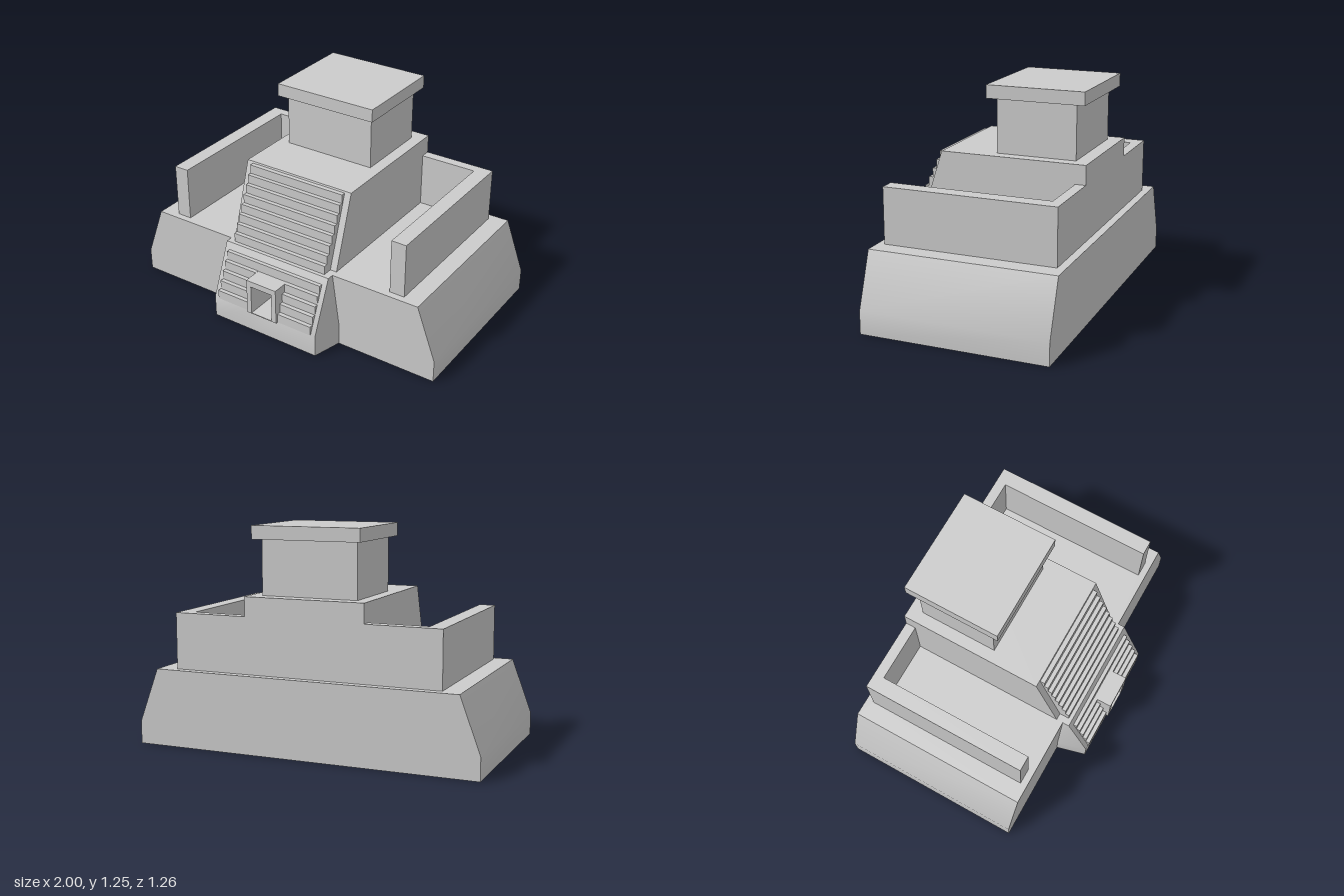
import * as THREE from 'three';
import { mergeGeometries, toCreasedNormals } from 'three/addons/utils/BufferGeometryUtils.js';

const material = new THREE.MeshStandardMaterial({ color: 0xcccccc, side: THREE.DoubleSide });

// One four-cornered face, corners counter-clockwise from outside
function quad(a, b, c, d) {
  const g = new THREE.BufferGeometry();
  g.setAttribute('position', new THREE.Float32BufferAttribute([a, b, c, a, c, d].flat(), 3));
  g.computeVertexNormals();
  return g;
}

// The same face on both sides of x = 0
function pair(...corners) {
  const mirrored = corners.map(([x, y, z]) => [-x, y, z]).reverse();
  return [quad(...corners), quad(...mirrored)];
}

function flat(points, hole) {
  const toVectors = (list) => list.map(([x, y]) => new THREE.Vector2(x, y));
  const shape = new THREE.Shape(toVectors(points));
  if (hole) shape.holes.push(new THREE.Path(toVectors(hole)));
  const g = new THREE.ShapeGeometry(shape).toNonIndexed();
  g.deleteAttribute('uv');
  return g;
}

// Horizontal face at height y, outline given as [x, z]
function deck(points, y, hole) {
  const flip = (list) => list && list.map(([x, z]) => [x, -z]);
  return flat(flip(points), flip(hole)).rotateX(-Math.PI / 2).translate(0, y, 0);
}

function createModel() {
  const group = new THREE.Group();
  const add = (name, geometry) => {
    const mesh = new THREE.Mesh(geometry, material);
    mesh.name = name;
    group.add(mesh);
  };
  const shell = (name, faces) => add(name, toCreasedNormals(mergeGeometries(faces), 0.6));
  const box = (name, x0, x1, y0, y1, z0, z1) =>
    add(name, new THREE.BoxGeometry(x1 - x0, y1 - y0, z1 - z0)
      .translate((x0 + x1) / 2, (y0 + y1) / 2, (z0 + z1) / 2));

  const back = -0.63, front = 0.44, top = 0.44, knee = 0.13;
  const lowerSlope = (y) => 0.61 - (y - knee) * 0.13 / 0.31;
  const upperSlope = (y) => 0.4 - (y - top) * 0.14 / 0.43;

  // Base: hollow, open below, sides leaning in above the knee
  const half = [[1, 0], [1, knee], [0.885, top], [0.35, top], [0.395, knee], [0.395, 0]];
  shell('base', [
    ...pair([1, 0, front], [1, 0, back], [1, knee, back], [1, knee, front]),
    ...pair([1, knee, front], [1, knee, back], [0.885, top, back], [0.885, top, front]),
    flat(half).translate(0, 0, front),
    flat(half.map(([x, y]) => [-x, y])).translate(0, 0, front),
    flat([[-1, 0], [1, 0], [1, knee], [0.885, top], [-0.885, top], [-1, knee]])
      .rotateY(Math.PI).translate(0, 0, back),
  ]);

  // Terrace floor, open under the hollow upper parts
  const rightHole = [[0.31, 0.458], [0.31, 0.4], [0.35, 0.4], [0.35, -0.525], [0.69, -0.525],
    [0.69, 0.4], [0.78, 0.4], [0.78, -0.585]];
  const mirrorHole = rightHole.map(([x, z]) => [-x, z]).reverse();
  add('terrace', deck([[-0.885, front], [-0.35, front], [-0.35, 0.48], [0.35, 0.48], [0.35, front],
    [0.885, front], [0.885, back], [-0.885, back]], top, [...rightHole, ...mirrorHole]));

  // Front projection with splayed flanks and a gap for the doorway
  const sl = (x, y) => [x, y, lowerSlope(y)];
  shell('stairBase', [
    ...pair([0.35, 0, 0.61], [0.395, 0, front], [0.395, knee, front], [0.35, knee, 0.61]),
    ...pair([0.35, knee, 0.61], [0.395, knee, front], [0.35, top, front], [0.35, top, 0.48]),
    ...pair([0.1, 0, 0.61], [0.35, 0, 0.61], [0.35, knee, 0.61], [0.1, knee, 0.61]),
    quad([-0.1, 0, 0.61], [0.1, 0, 0.61], [0.1, knee, 0.61], [-0.1, knee, 0.61]),
    ...pair(sl(0.1, knee), sl(0.35, knee), sl(0.35, top), sl(0.1, top)),
    quad(sl(-0.1, 0.345), sl(0.1, 0.345), sl(0.1, top), sl(-0.1, top)),
  ]);

  // Stair flight: risers, treads and cheeks running back to the slope
  function stairs(name, count, width, y0, rise, z0, run, slope, innerX) {
    const faces = [];
    for (let i = 0; i < count; i++) {
      const a = y0 + i * rise, b = a + rise, z = z0 - i * run;
      const zb = i === count - 1 ? slope(b) : z - run;
      const x = innerX(i);
      faces.push(
        ...pair([x, a, z], [width, a, z], [width, b, z], [x, b, z]),
        ...pair([x, b, z], [width, b, z], [width, b, zb], [x, b, zb]),
        ...pair([width, a, z], [width, a, slope(a)], [width, b, slope(b)], [width, b, z]));
    }
    add(name, mergeGeometries(faces));
  }
  stairs('lowerStairs', 5, 0.32, knee, 0.054, 0.615, 0.024, lowerSlope, (i) => (i < 4 ? 0.1 : 0));
  stairs('upperStairs', 8, 0.31, top, 0.0525, 0.458, 0.024, upperSlope, () => 0);

  // Doorway: a frame and a recess reaching into the base
  const arch = [[-0.1, knee], [-0.07, knee], [-0.07, 0.31], [0.07, 0.31], [0.07, knee],
    [0.1, knee], [0.1, 0.345], [-0.1, 0.345]].map(([x, y]) => new THREE.Vector2(x, y));
  add('doorway', new THREE.ExtrudeGeometry(new THREE.Shape(arch),
    { depth: 0.29, bevelEnabled: false }).translate(0, 0, 0.34));
  box('doorwayFloor', -0.07, 0.07, knee, knee + 0.005, 0.34, 0.63);
  box('doorwayBack', -0.07, 0.07, knee + 0.005, 0.31, 0.34, 0.35);

  // Central block with a sloping front, open where the stairs climb
  const roof = 0.87, rear = -0.585;
  const su = (x, y) => [x, y, upperSlope(y)];
  shell('centralBlock', [
    ...pair([0.35, top, 0.4], [0.35, top, rear], [0.35, roof, rear], [0.35, roof, 0.26]),
    ...pair(su(0.31, top), su(0.35, top), su(0.35, roof), su(0.31, roof)),
    quad(su(-0.31, 0.86), su(0.31, 0.86), su(0.31, roof), su(-0.31, roof)),
    quad([0.35, top, rear], [-0.35, top, rear], [-0.35, roof, rear], [0.35, roof, rear]),
    deck([[-0.35, 0.26], [0.35, 0.26], [0.35, rear], [-0.35, rear]], roof),
  ]);

  // L-shaped terrace walls, hollow and open below
  for (const side of [1, -1]) {
    let outline = [[0.69, 0.4], [0.78, 0.4], [0.78, rear], [0.35, rear], [0.35, -0.525], [0.69, -0.525]];
    if (side < 0) outline = outline.map(([x, z]) => [-x, z]).reverse();
    const faces = outline.map(([x, z], i) => {
      const [u, w] = outline[(i + 1) % outline.length];
      return quad([x, top, z], [u, top, w], [u, 0.76, w], [x, 0.76, z]);
    });
    shell(side > 0 ? 'leftWall' : 'rightWall', [...faces, deck(outline, 0.76)]);
  }

  // Chamber and its overhanging roof slab
  box('chamber', -0.28, 0.28, roof, 1.18, -0.505, -0.045);
  box('roofSlab', -0.315, 0.315, 1.18, 1.255, -0.56, 0.005);
  return group;
}

export { createModel };
